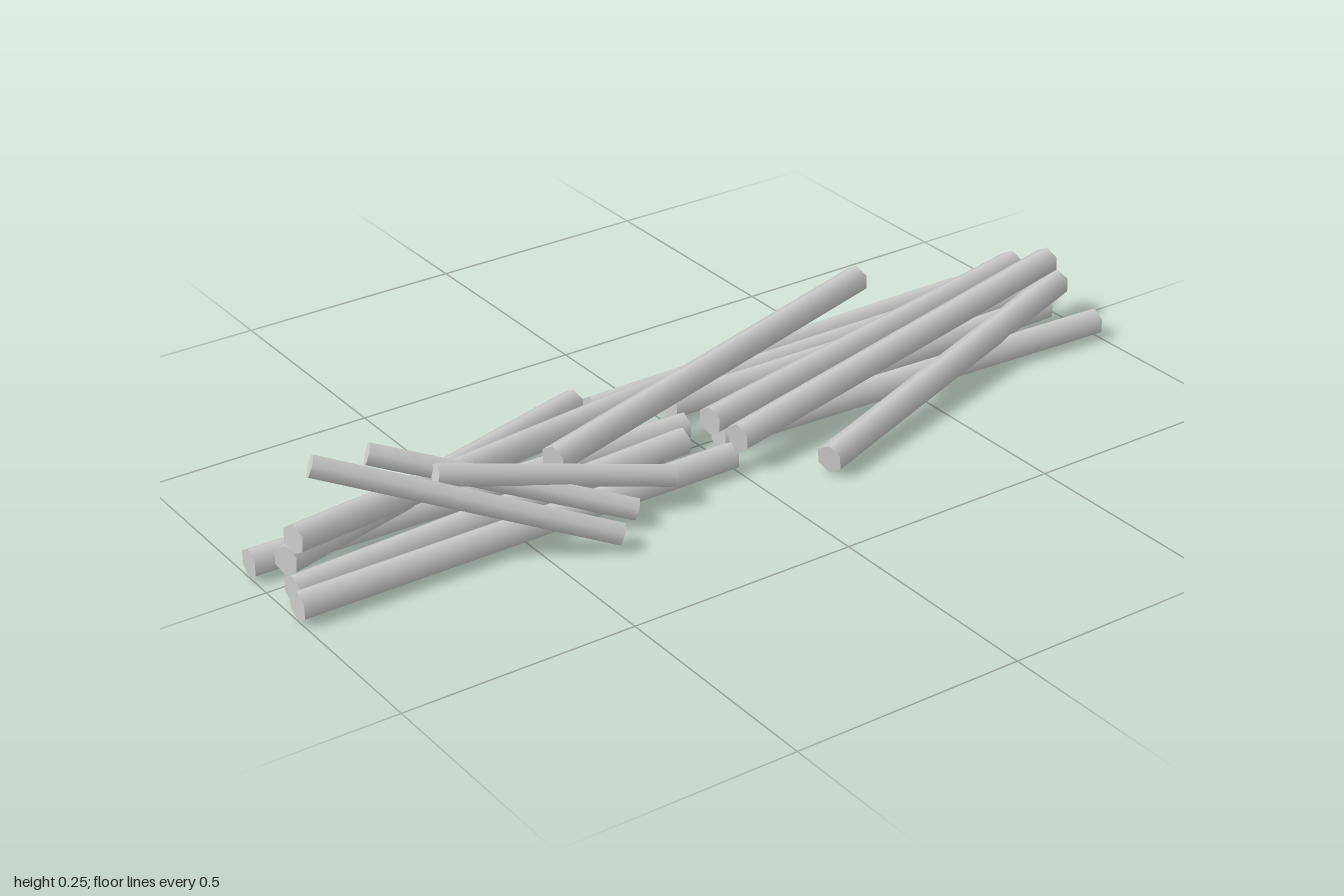
import * as THREE from 'three';

export function createModel() {
  const group = new THREE.Group();
  group.name = 'logPile';
  const material = new THREE.MeshStandardMaterial({ color: 0xcccccc });

  // Six-sided log stretched between the centres of its two ends
  function addLog(name, radius, [from, to]) {
    const a = new THREE.Vector3(...from);
    const b = new THREE.Vector3(...to);
    const geometry = new THREE.CylinderGeometry(radius, radius, a.distanceTo(b), 6);
    geometry.rotateX(Math.PI / 2);
    const log = new THREE.Mesh(geometry, material);
    log.name = name;
    log.position.copy(a).add(b).multiplyScalar(0.5);
    log.lookAt(b);
    group.add(log);
  }

  // Logs lying on the ground: back set, then front set
  const groundLogs = [
    [[-0.215, 0.033, -0.86], [-0.208, 0.033, 0.13]],
    [[-0.11, 0.033, -1], [-0.127, 0.033, -0.015]],
    [[0.085, 0.033, -1], [0.04, 0.033, -0.02]],
    [[-0.16, 0.033, -0.96], [-0.165, 0.033, -0.06]],
    [[-0.035, 0.033, -0.96], [-0.02, 0.033, -0.06]],
    [[0.118, 0.033, 0.005], [0.125, 0.035, 1]],
    [[-0.04, 0.033, 0.01], [-0.065, 0.035, 1]],
    [[0.012, 0.033, 0.05], [0.07, 0.035, 0.98]],
  ];

  // Logs lying across the ground layer
  const upperLogs = [
    [[-0.16, 0.088, -0.97], [0.037, 0.075, 0]],
    [[-0.045, 0.14, -0.97], [0.12, 0.07, -0.01]],
    [[-0.025, 0.09, -0.985], [0.248, 0.035, -0.145]],
    [[-0.212, 0.14, -0.57], [0.04, 0.107, 0.38]],
    [[-0.25, 0.037, 0.145], [0.05, 0.09, 0.98]],
    [[-0.13, 0.08, 0.005], [0.067, 0.14, 0.97]],
  ];

  // Shorter, thinner logs leaning on top at the front
  const leaningLogs = [
    [[0.165, 0.065, 0.18], [0.047, 0.165, 0.65]],
    [[0.19, 0.035, 0.285], [-0.045, 0.2, 0.745]],
    [[0.25, 0.033, 0.36], [-0.012, 0.233, 0.885]],
  ];

  groundLogs.forEach((ends, i) => addLog(`groundLog${i + 1}`, 0.031, ends));
  upperLogs.forEach((ends, i) => addLog(`upperLog${i + 1}`, 0.031, ends));
  leaningLogs.forEach((ends, i) => addLog(`leaningLog${i + 1}`, 0.025, ends));
  return group;
}
